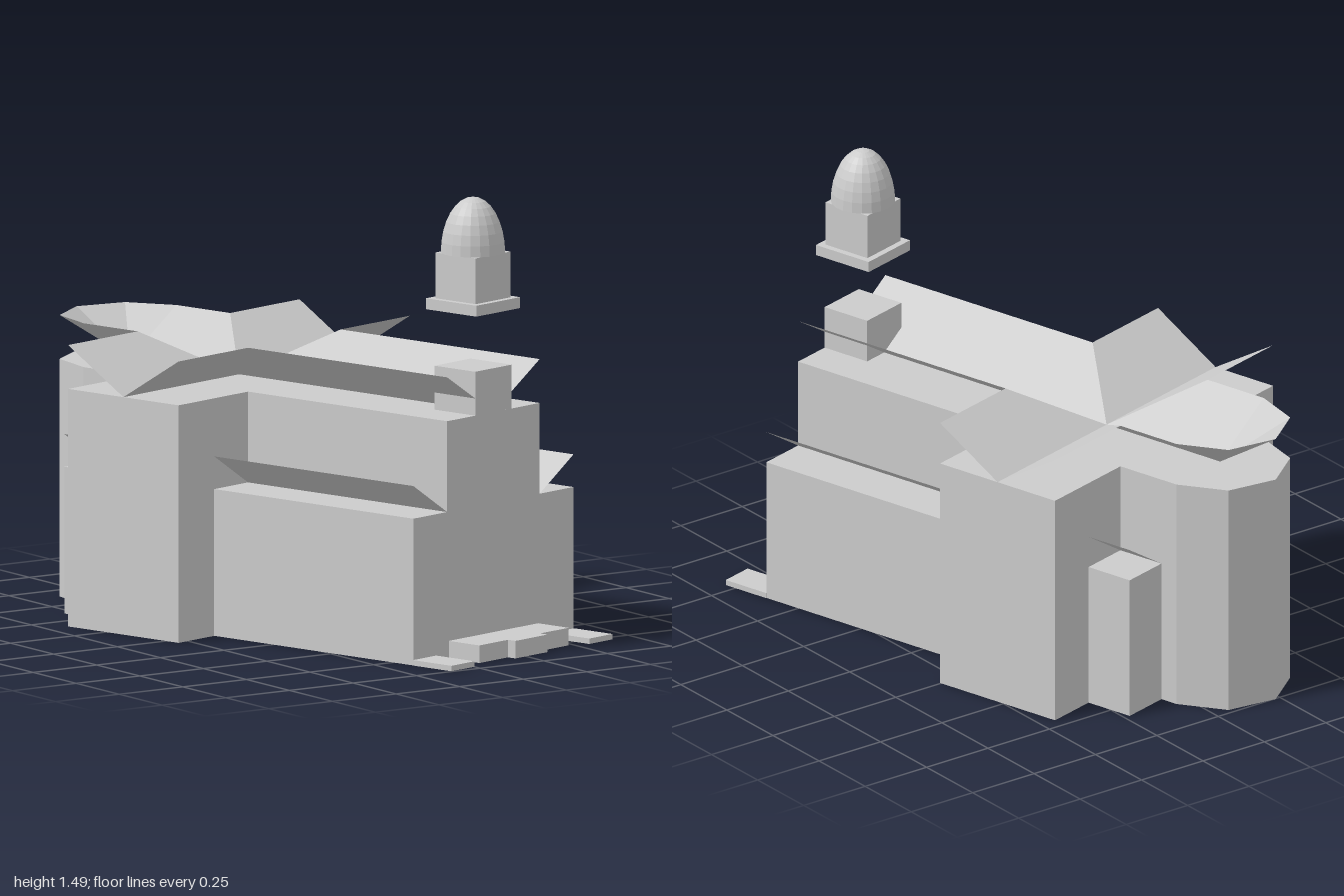
import * as THREE from 'three';

const WALL = 0.785, EAVE = 0.93;          // main wall top and raised roof edge
const AISLE = 0.485, AISLE_EAVE = 0.593;  // same for the low side aisles
const NAVE = 0.23, OUTER = 0.398;         // half widths of nave and aisles
const FRONT = 1.096, CHOIR = -0.47;       // front wall, start of apse
const ARM = 0.575, CROSS = 0.238;         // transept half length and half width

const solid = new THREE.MeshStandardMaterial({ color: 0xcccccc, flatShading: true });
const sheet = new THREE.MeshStandardMaterial({ color: 0xcccccc, flatShading: true, side: THREE.DoubleSide });

export function createModel() {
  const model = new THREE.Group();
  const church = new THREE.Group();
  church.name = 'church';
  church.position.set(-0.05, 0, -0.327);
  church.rotation.y = Math.PI / 12;
  model.add(church);

  const add = (name, geometry, material = solid) => {
    const mesh = new THREE.Mesh(geometry, material);
    mesh.name = name;
    church.add(mesh);
    return mesh;
  };

  // Box given by its extents
  const block = (name, x0, x1, y0, y1, z0, z1) =>
    add(name, new THREE.BoxGeometry(x1 - x0, y1 - y0, z1 - z0)
      .translate((x0 + x1) / 2, (y0 + y1) / 2, (z0 + z1) / 2));

  // Thin roof made of convex polygons, each fanned into triangles
  const roof = (name, polygons) => {
    const points = [];
    for (const p of polygons)
      for (let i = 1; i < p.length - 1; i++) points.push(...p[0], ...p[i], ...p[i + 1]);
    const geometry = new THREE.BufferGeometry();
    geometry.setAttribute('position', new THREE.Float32BufferAttribute(points, 3));
    geometry.computeVertexNormals();
    add(name, geometry, sheet);
  };

  // Main walls
  block('nave', -NAVE, NAVE, 0, WALL, CHOIR, FRONT);
  block('transept', -ARM, ARM, 0, WALL, -CROSS, CROSS);
  add('apse', new THREE.CylinderGeometry(NAVE, NAVE, WALL, 4, 1, false, Math.PI / 2, Math.PI)
    .translate(0, WALL / 2, CHOIR));

  // Valley roofs over the four arms, meeting at the crossing
  const center = [0, WALL, 0];
  const slopes = [];
  for (const s of [-1, 1]) {
    for (const [end, corner] of [[FRONT, CROSS], [CHOIR, -CROSS]])
      slopes.push([center, [0, WALL, end], [s * NAVE, EAVE, end], [s * NAVE, EAVE, corner]]);
    for (const t of [-1, 1])
      slopes.push([center, [s * ARM, WALL, 0], [s * ARM, EAVE, t * CROSS], [s * NAVE, EAVE, t * CROSS]]);
  }
  // Match winding so that upper sides face up
  for (const p of slopes) {
    const [, b, c] = p;
    if (b[2] * c[0] - b[0] * c[2] < 0) p.reverse();
  }
  roof('mainRoof', slopes);

  // Faceted funnel roof over the apse
  const rim = i => [NAVE * Math.cos(i * Math.PI / 4), EAVE, CHOIR - NAVE * Math.sin(i * Math.PI / 4)];
  roof('apseRoof', [0, 1, 2, 3].map(i => [[0, WALL, CHOIR], rim(i), rim(i + 1)]));

  // Aisles with outward rising roofs, in front of and behind the transept
  for (const s of [-1, 1]) {
    for (const [z0, z1] of [[CROSS, FRONT], [-0.408, -CROSS]]) {
      const [x0, x1] = s > 0 ? [NAVE, OUTER] : [-OUTER, -NAVE];
      block('aisle', x0, x1, 0, AISLE, z0, z1);
      const y = x => Math.abs(x) === OUTER ? AISLE_EAVE : AISLE;
      roof('aisleRoof', [[[x0, y(x0), z0], [x0, y(x0), z1], [x1, y(x1), z1], [x1, y(x1), z0]]]);
    }
    // Low side steps
    block('sideStep', s > 0 ? 0.285 : -0.4, s > 0 ? 0.4 : -0.285, 0, 0.018, FRONT, 1.262);
  }

  // Entrance steps
  block('entranceStep', -0.222, 0.222, 0, 0.058, FRONT, 1.228);
  block('entranceStepCenter', -0.08, 0.08, 0, 0.058, 1.228, 1.26);

  // Bell tower: stub on the front wall, and the raised lantern above it
  const T = 1.008;
  block('towerStub', -0.09, 0.09, WALL, EAVE, 0.92, FRONT);
  block('lanternBase', -0.109, 0.109, 1.117, 1.153, T - 0.109, T + 0.109);
  block('lantern', -0.087, 0.087, 1.153, 1.304, T - 0.087, T + 0.087);
  add('dome', new THREE.SphereGeometry(0.105, 20, 8, 0, Math.PI * 2, 0, Math.PI / 2)
    .scale(1, 1.74, 1).translate(0, 1.304, T));
  add('domeUnderside', new THREE.CircleGeometry(0.105, 20).rotateX(Math.PI / 2).translate(0, 1.304, T));

  return model;
}
